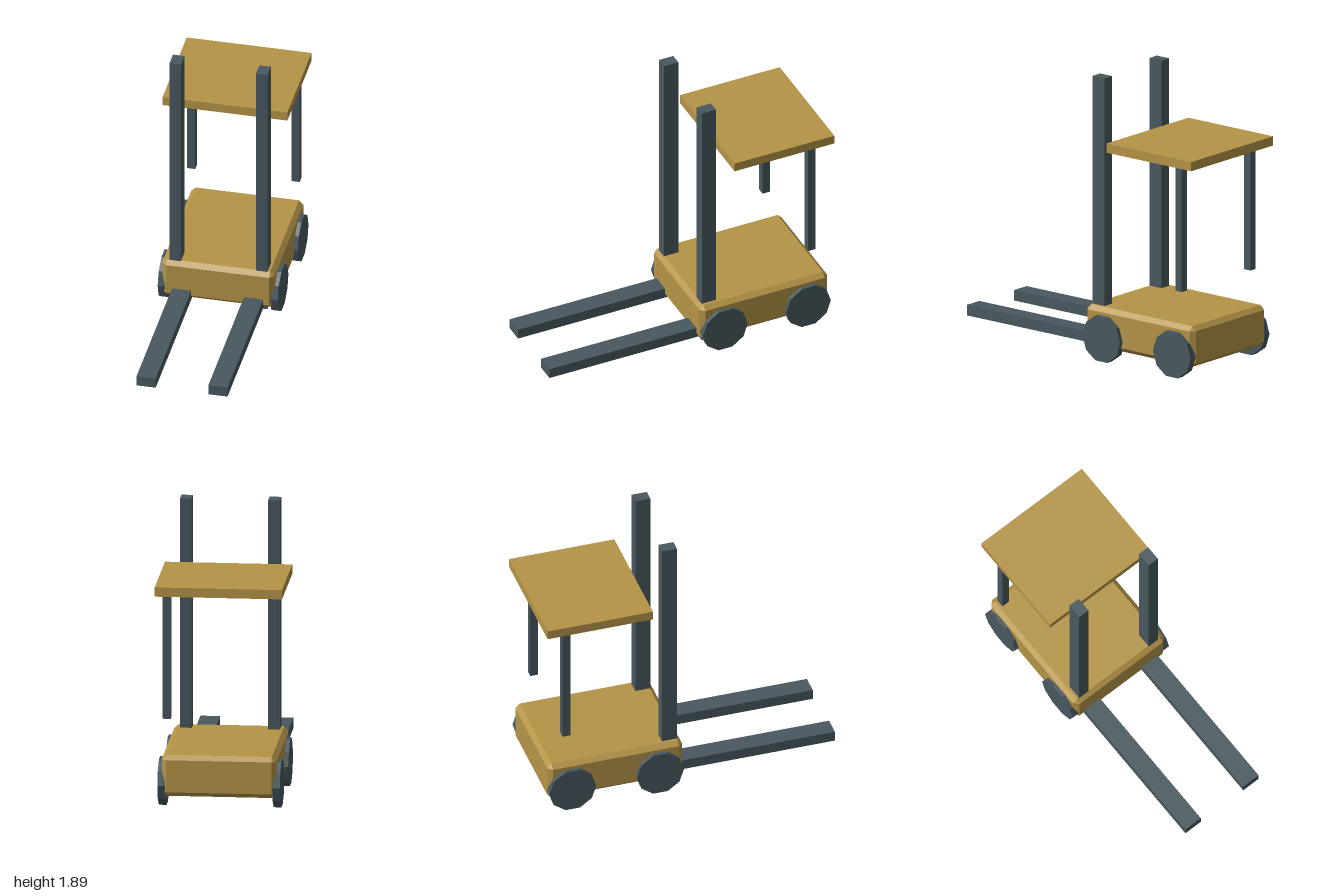
import * as THREE from 'three';
import { ConvexGeometry } from 'three/addons/geometries/ConvexGeometry.js';

const yellow = new THREE.MeshStandardMaterial({ name: 'ochre yellow', color: 0xb59447 });
const slate = new THREE.MeshStandardMaterial({ name: 'slate grey', color: 0x48585f });

// Box whose edges and corners are all cut by the chamfer c
function chamferBox(w, h, d, c) {
  const points = [];
  for (const sx of [-1, 1]) for (const sy of [-1, 1]) for (const sz of [-1, 1]) {
    const x = w / 2, y = h / 2, z = d / 2;
    points.push(
      new THREE.Vector3(sx * x, sy * (y - c), sz * (z - c)),
      new THREE.Vector3(sx * (x - c), sy * y, sz * (z - c)),
      new THREE.Vector3(sx * (x - c), sy * (y - c), sz * z));
  }
  return new ConvexGeometry(points);
}

export function createModel() {
  const model = new THREE.Group();
  model.name = 'forklift';

  function add(name, geometry, material, x, y, z) {
    const mesh = new THREE.Mesh(geometry, material);
    mesh.name = name;
    mesh.position.set(x, y, z);
    model.add(mesh);
  }
  // Box given by its limits on each axis
  function addBox(name, material, [x0, x1], [y0, y1], [z0, z1]) {
    add(name, new THREE.BoxGeometry(x1 - x0, y1 - y0, z1 - z0), material,
      (x0 + x1) / 2, (y0 + y1) / 2, (z0 + z1) / 2);
  }

  // Chassis and overhead roof
  add('body', chamferBox(0.75, 0.275, 0.92, 0.03), yellow, 0, 0.2175, -0.52);
  addBox('roof', yellow, [-0.417, 0.417], [1.425, 1.487], [-1, -0.28]);

  // Ten-sided wheel with a flat at the bottom, axle along x
  const wheel = new THREE.CylinderGeometry(0.16, 0.16, 0.05, 10).toNonIndexed();
  wheel.computeVertexNormals();
  wheel.rotateZ(Math.PI / 2);

  for (const [side, s] of [['left', 1], ['right', -1]]) {
    const span = (a, b) => (s > 0 ? [a, b] : [-b, -a]);
    addBox(side + 'Mast', slate, span(0.25, 0.327), [0.06, 1.892], [-0.19, -0.087]);
    addBox(side + 'Fork', slate, span(0.176, 0.304), [0.079, 0.15], [-0.1, 1]);
    addBox(side + 'RoofPost', slate, span(0.322, 0.376), [0.58, 1.43], [-0.885, -0.831]);
    add(side + 'FrontWheel', wheel, slate, s * 0.376, 0.152, -0.223);
    add(side + 'RearWheel', wheel, slate, s * 0.376, 0.152, -0.822);
  }
  return model;
}
